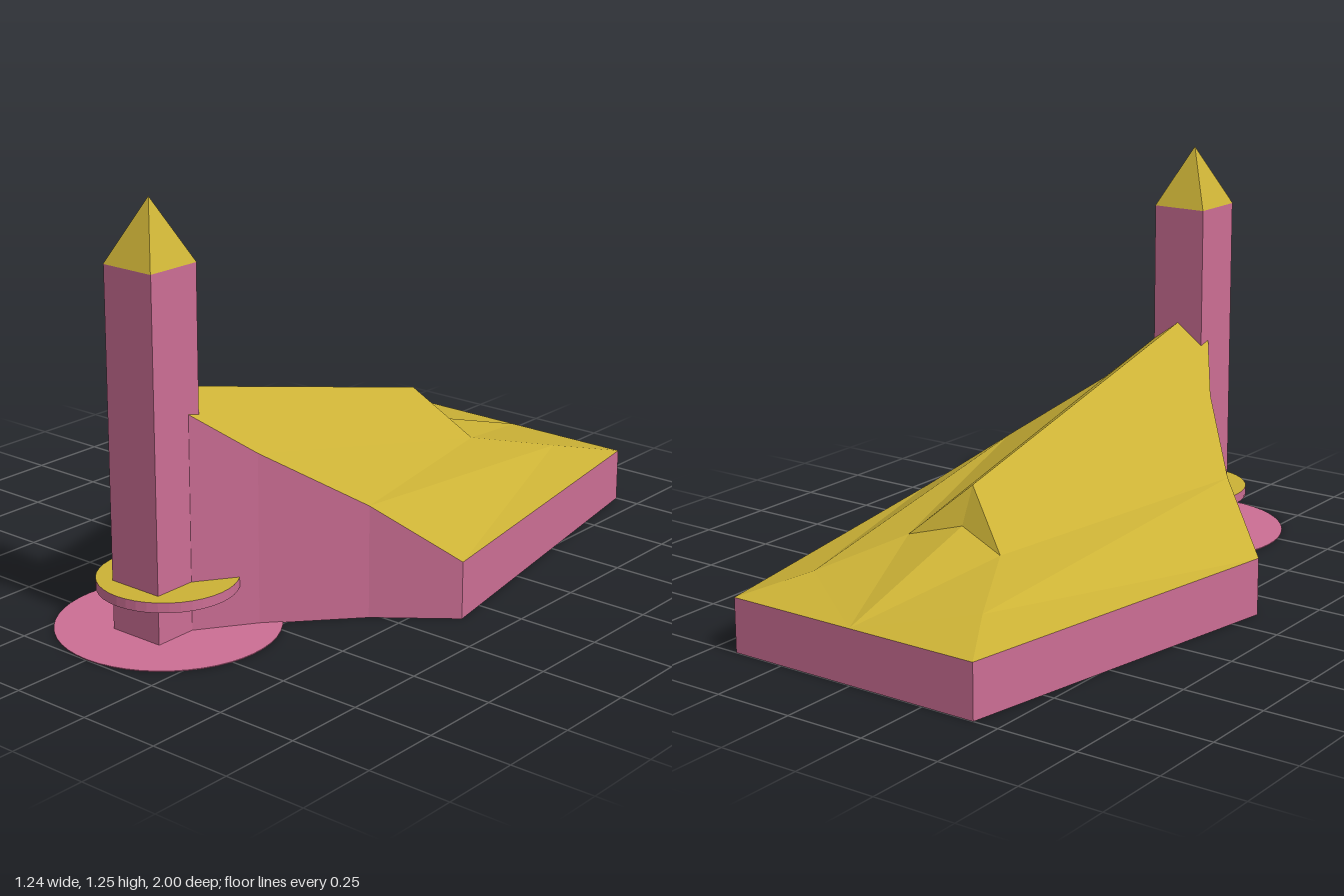
import * as THREE from 'three';

const material = (color) => new THREE.MeshStandardMaterial({ color, flatShading: true });
const pink = material(0xcc6e94);
const yellow = material(0xccb236);

// Half of the roof (+x side): named corners and the facets between them
const P = {
  ridgeFront: [0, 0.72, 0.71], ridgeBack: [0, 0.43, -0.45],
  notch: [0, 0.32, -0.5], gable: [0.165, 0.275, -0.54],
  hip: [0.3, 0.21, -0.8],
  e0: [0.09, 0.645, 0.67], e1: [0.2, 0.515, 0.51], e2: [0.41, 0.342, 0.275],
  e3: [0.62, 0.175, 0.11], e4: [0.42, 0.165, -1], back: [0, 0.165, -1],
};
const ROOF = [
  ['ridgeFront', 'gable', 'ridgeBack'], ['ridgeFront', 'e0', 'gable'],
  ['e0', 'e1', 'gable'], ['gable', 'e1', 'e2'], ['gable', 'e2', 'hip'],
  ['hip', 'e2', 'e3'], ['hip', 'e3', 'e4'], ['hip', 'e4', 'back'],
  ['gable', 'hip', 'back'], ['gable', 'back', 'notch'], ['ridgeBack', 'gable', 'notch'],
];
const OUTLINE = ['ridgeFront', 'e0', 'e1', 'e2', 'e3', 'e4', 'back'];

// Adds each triangle and its mirror image across x = 0
function mirroredGeometry(triangles) {
  const pos = [];
  const flip = ([x, y, z]) => [-x, y, z];
  for (const [a, b, c] of triangles) {
    pos.push(...a, ...b, ...c, ...flip(a), ...flip(c), ...flip(b));
  }
  const g = new THREE.BufferGeometry();
  g.setAttribute('position', new THREE.Float32BufferAttribute(pos, 3));
  g.computeVertexNormals();
  return g;
}

export function createModel() {
  const model = new THREE.Group();
  model.name = 'church';
  const add = (name, geometry, mat, x = 0, y = 0, z = 0) => {
    const mesh = new THREE.Mesh(geometry, mat);
    mesh.name = name;
    mesh.position.set(x, y, z);
    model.add(mesh);
    return mesh;
  };

  // Faceted roof with a gabled step behind the ridge
  add('roof', mirroredGeometry(ROOF.map((f) => f.map((k) => P[k]))), yellow);

  // Walls following the eaves, and the floor
  const walls = [];
  const floor = [];
  const ground = ([x, , z]) => [x, 0, z];
  for (let i = 0; i < OUTLINE.length - 1; i++) {
    const a = P[OUTLINE[i]], b = P[OUTLINE[i + 1]];
    walls.push([a, ground(a), ground(b)], [a, ground(b), b]);
    floor.push([[0, 0, -0.2], ground(b), ground(a)]);
  }
  add('walls', mirroredGeometry(walls), pink);
  add('floor', mirroredGeometry(floor), pink);

  // Square tower with a pyramid spire
  const towerZ = 0.717;
  add('tower', new THREE.BoxGeometry(0.178, 1.07, 0.176), pink, 0, 0.535, towerZ);
  const spire = new THREE.ConeGeometry(0.089 * Math.SQRT2, 0.185, 4);
  spire.rotateY(Math.PI / 4);
  add('spire', spire, yellow, 0, 1.1625, towerZ);

  // Canopy ring around the tower and the round ground plate
  add('canopy', new THREE.CylinderGeometry(0.205, 0.205, 0.03, 40), [pink, yellow, yellow], 0, 0.135, 0.673);
  add('groundPlate', new THREE.CylinderGeometry(0.326, 0.326, 0.003, 48), pink, 0, 0.0015, 0.674);

  return model;
}
